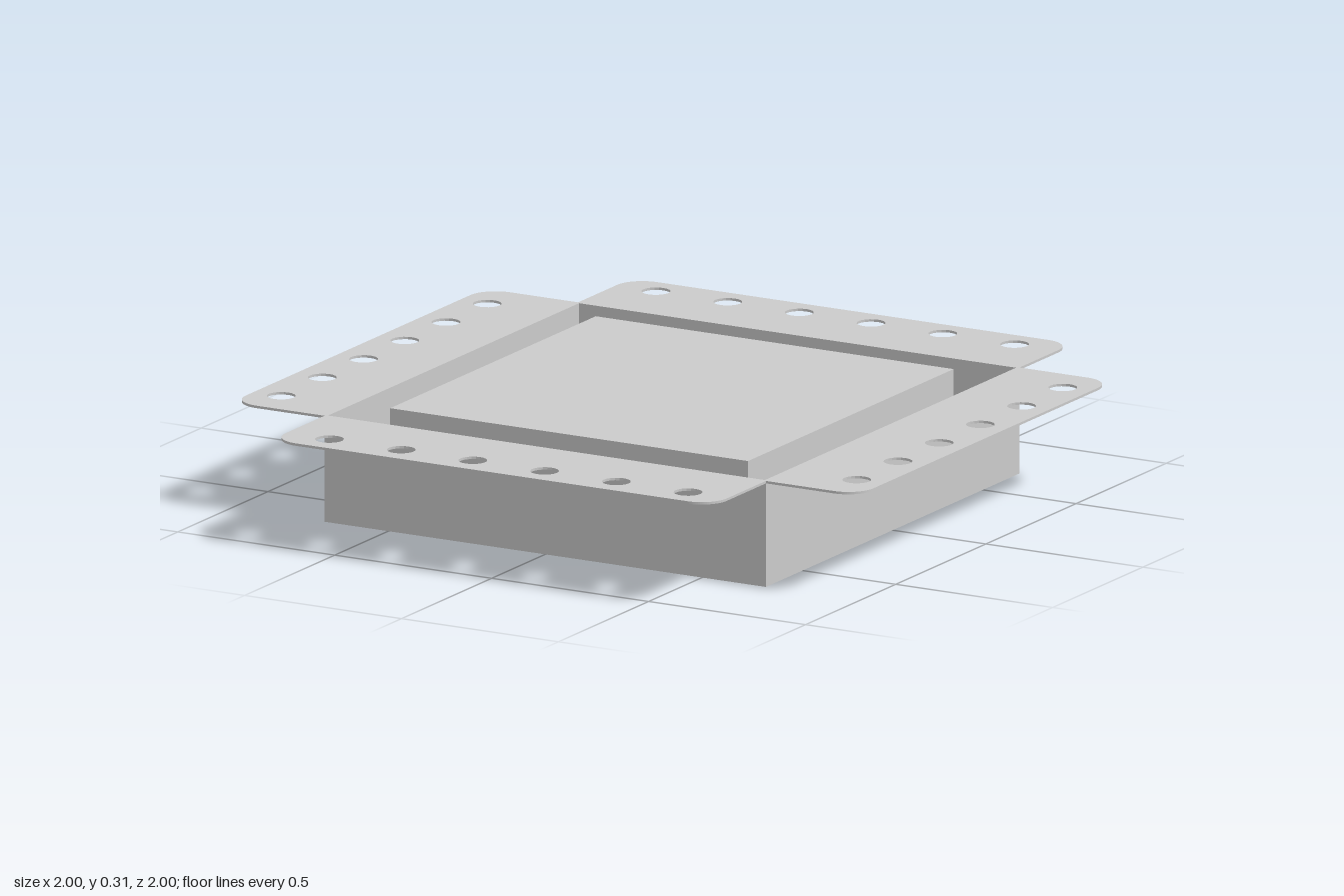
import * as THREE from 'three';

const T = 0.007; // sheet thickness
const HALF = 0.703; // half width of the pan
const RIM = 0.303; // top of the flanges

export function createModel() {
  const root = new THREE.Group();
  const mat = new THREE.MeshStandardMaterial({ color: 0xcccccc, flatShading: true });

  const add = (parent, name, geo, x = 0, y = 0, z = 0) => {
    const mesh = new THREE.Mesh(geo, mat);
    mesh.name = name;
    mesh.position.set(x, y, z);
    parent.add(mesh);
    return mesh;
  };
  const box = (parent, name, w, h, d, x, y, z) =>
    add(parent, name, new THREE.BoxGeometry(w, h, d), x, y, z);

  // Lay a 2D shape flat (shape y becomes z), filling y from 0 to T
  const sheet = (shape) => {
    const geo = new THREE.ExtrudeGeometry(shape, { depth: T, bevelEnabled: false, curveSegments: 10 });
    return geo.rotateX(Math.PI / 2).translate(0, T, 0);
  };

  const roundedSquare = (path, h, r) => {
    path.moveTo(h, h - r);
    [0, 1, 2, 3].forEach((i) => {
      const a = (i * Math.PI) / 2;
      const sx = i === 0 || i === 3 ? 1 : -1;
      const sy = i < 2 ? 1 : -1;
      path.absarc(sx * (h - r), sy * (h - r), r, a, a + Math.PI / 2, false);
    });
    path.closePath();
    return path;
  };

  // Flange with two rounded outer corners and a row of six holes
  const flange = new THREE.Shape();
  const r = 0.08;
  flange.moveTo(-HALF, HALF - T);
  flange.lineTo(HALF, HALF - T);
  flange.lineTo(HALF, 1 - r);
  flange.absarc(HALF - r, 1 - r, r, 0, Math.PI / 2, false);
  flange.absarc(-HALF + r, 1 - r, r, Math.PI / 2, Math.PI, false);
  flange.closePath();
  for (let i = 0; i < 6; i++) {
    const x = 0.005 + (i - 2.5) * 0.2285;
    flange.holes.push(new THREE.Path().absarc(x, 0.914, 0.04, 0, Math.PI * 2, true));
  }
  const flangeGeo = sheet(flange);

  // Four pan sides, each a wall with its flange
  ['front', 'left', 'back', 'right'].forEach((side, i) => {
    const group = new THREE.Group();
    group.name = side + 'Side';
    group.rotation.y = (i * Math.PI) / 2;
    box(group, 'wall', HALF * 2, RIM - T, T, 0, (RIM - T) / 2, HALF - T / 2);
    add(group, 'flange', flangeGeo, 0, RIM - T, 0);
    root.add(group);
  });

  // Pan floor with a rounded square opening
  const opening = 0.465;
  const floor = new THREE.Shape();
  const f = HALF - T;
  floor.moveTo(-f, -f);
  floor.lineTo(f, -f);
  floor.lineTo(f, f);
  floor.lineTo(-f, f);
  floor.closePath();
  floor.holes.push(roundedSquare(new THREE.Path(), opening, 0.08));
  add(root, 'floor', sheet(floor));

  // Raised cover: top sheet with four short skirts
  const cover = new THREE.Group();
  cover.name = 'cover';
  cover.position.set(-0.005, 0, -0.008);
  root.add(cover);
  const c = 0.57;
  const top = 0.309;
  const skirtBottom = 0.198;
  box(cover, 'coverTop', c * 2, T, c * 2, 0, top - T / 2, 0);
  const skirtH = top - T - skirtBottom;
  for (const s of [-1, 1]) {
    box(cover, 'coverSkirt', c * 2, skirtH, T, 0, skirtBottom + skirtH / 2, s * (c - T / 2));
    box(cover, 'coverSkirt', T, skirtH, (c - T) * 2, s * (c - T / 2), skirtBottom + skirtH / 2, 0);
  }

  // Two upright tabs on each side hold the cover through a bent top strip
  const stripY = top - T * 1.5;
  for (const s of [-1, 1]) {
    box(root, 'tabStrip', 0.09, T, 0.92, s * 0.512, stripY, 0);
    for (const z of [-0.215, 0.22]) {
      box(root, 'supportTab', T, stripY, 0.19, s * (opening + T / 2), stripY / 2, z);
    }
  }

  return root;
}
